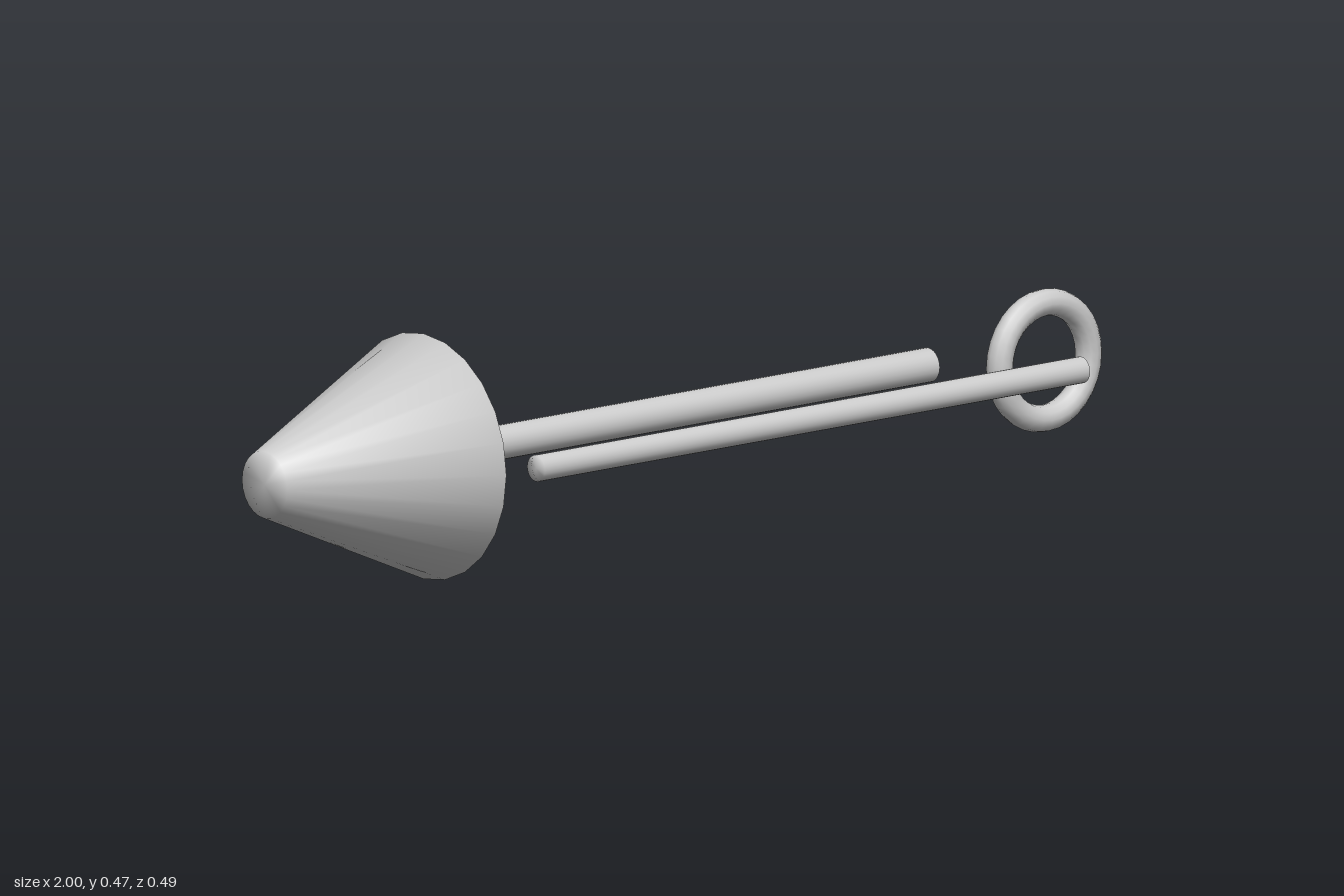
import * as THREE from 'three';
import { mergeVertices } from 'three/addons/utils/BufferGeometryUtils.js';

const AXIS_Y = 0.238;

export function createModel() {
  const group = new THREE.Group();
  const material = new THREE.MeshStandardMaterial({ color: 0xcccccc });

  const add = (name, geometry, x, z) => {
    const mesh = new THREE.Mesh(geometry, material);
    mesh.name = name;
    mesh.position.set(x, AXIS_Y, z);
    group.add(mesh);
  };

  // Capped, softly shaded cylinder lying along x, from x0 (radius r0) to x1 (radius r1)
  const addRound = (name, x0, x1, r0, r1, z) => {
    let geometry = new THREE.CylinderGeometry(r1, r0, x1 - x0, 24);
    geometry.deleteAttribute('uv');
    geometry.deleteAttribute('normal');
    geometry = mergeVertices(geometry);
    geometry.rotateZ(-Math.PI / 2);
    geometry.computeVertexNormals();
    add(name, geometry, (x0 + x1) / 2, z);
  };

  // Flared head with the main rod running out of its wide end
  addRound('flaredHead', -1, -0.6, 0.065, 0.237, -0.006);
  addRound('mainRod', -0.6, 0.67, 0.033, 0.033, -0.006);

  // Thinner rod floating in front, parallel to the main rod
  addRound('sideRod', -0.515, 0.857, 0.0255, 0.0255, 0.219);

  // Ring at the far end, facing the front
  add('endRing', new THREE.TorusGeometry(0.112, 0.026, 12, 32), 0.862, 0.107);

  return group;
}
